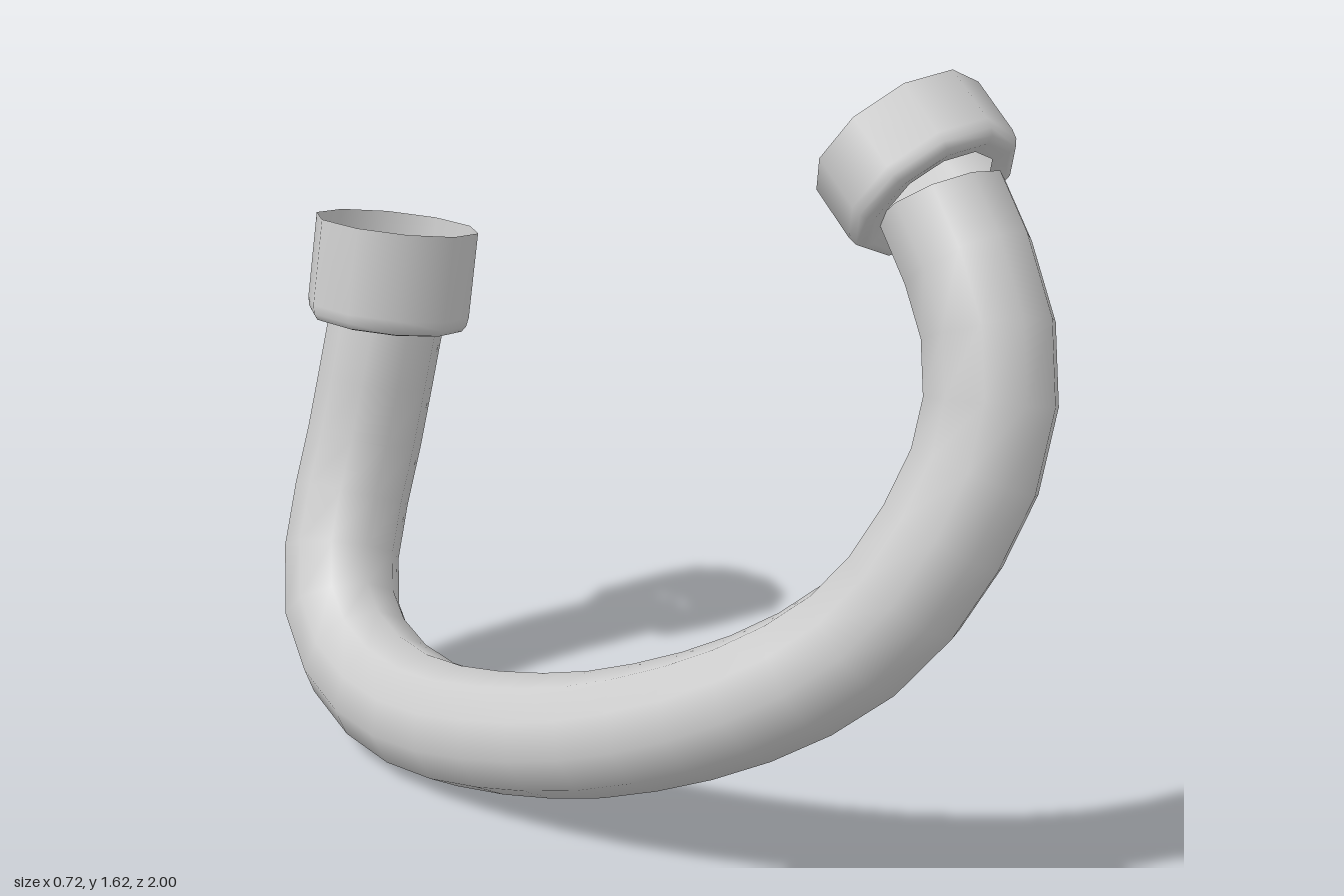
import * as THREE from 'three';

const SIDES = 10;
const material = new THREE.MeshStandardMaterial({ color: 0xcccccc, side: THREE.DoubleSide });

// Open socket: inner ledge, rounded lower edge, thin straight wall
function makeCollar(name, base, rim) {
  const axis = rim.clone().sub(base);
  const h = axis.length();
  const profile = [
    [0.122, 0.012], [0.155, 0.003], [0.172, 0.007], [0.181, 0.02], [0.185, 0.04], [0.185, h],
  ].map(([r, y]) => new THREE.Vector2(r, y));
  const collar = new THREE.Mesh(new THREE.LatheGeometry(profile, SIDES), material);
  collar.name = name;
  collar.position.copy(base);
  collar.quaternion.setFromUnitVectors(new THREE.Vector3(0, 1, 0), axis.normalize());
  return collar;
}

export function createModel() {
  const model = new THREE.Group();
  model.name = 'curvedPipe';

  // Centre line from the front opening, along the bottom, to the back opening
  const path = [
    [0.16, 1.38, 0.685], [0.125, 1.18, 0.825], [0.075, 0.97, 0.87], [-0.02, 0.74, 0.82],
    [-0.09, 0.57, 0.715], [-0.165, 0.41, 0.51], [-0.222, 0.255, 0.18], [-0.235, 0.175, -0.1],
    [-0.227, 0.14, -0.3], [-0.205, 0.138, -0.47], [-0.165, 0.175, -0.63], [-0.12, 0.24, -0.735],
    [-0.07, 0.335, -0.795], [-0.01, 0.46, -0.825], [0.045, 0.6, -0.832], [0.11, 0.865, -0.82],
  ].map((p) => new THREE.Vector3(...p));
  const curve = new THREE.CatmullRomCurve3(path);

  const pipe = new THREE.Mesh(new THREE.TubeGeometry(curve, 24, 0.13, SIDES, false), material);
  pipe.name = 'pipe';
  model.add(pipe);

  // Sockets at both ends
  model.add(makeCollar('frontCollar', path[0], new THREE.Vector3(0.18, 1.482, 0.56)));
  model.add(makeCollar('backCollar', path[path.length - 1].clone().setY(0.855), new THREE.Vector3(0.148, 1.085, -0.818)));
  return model;
}
